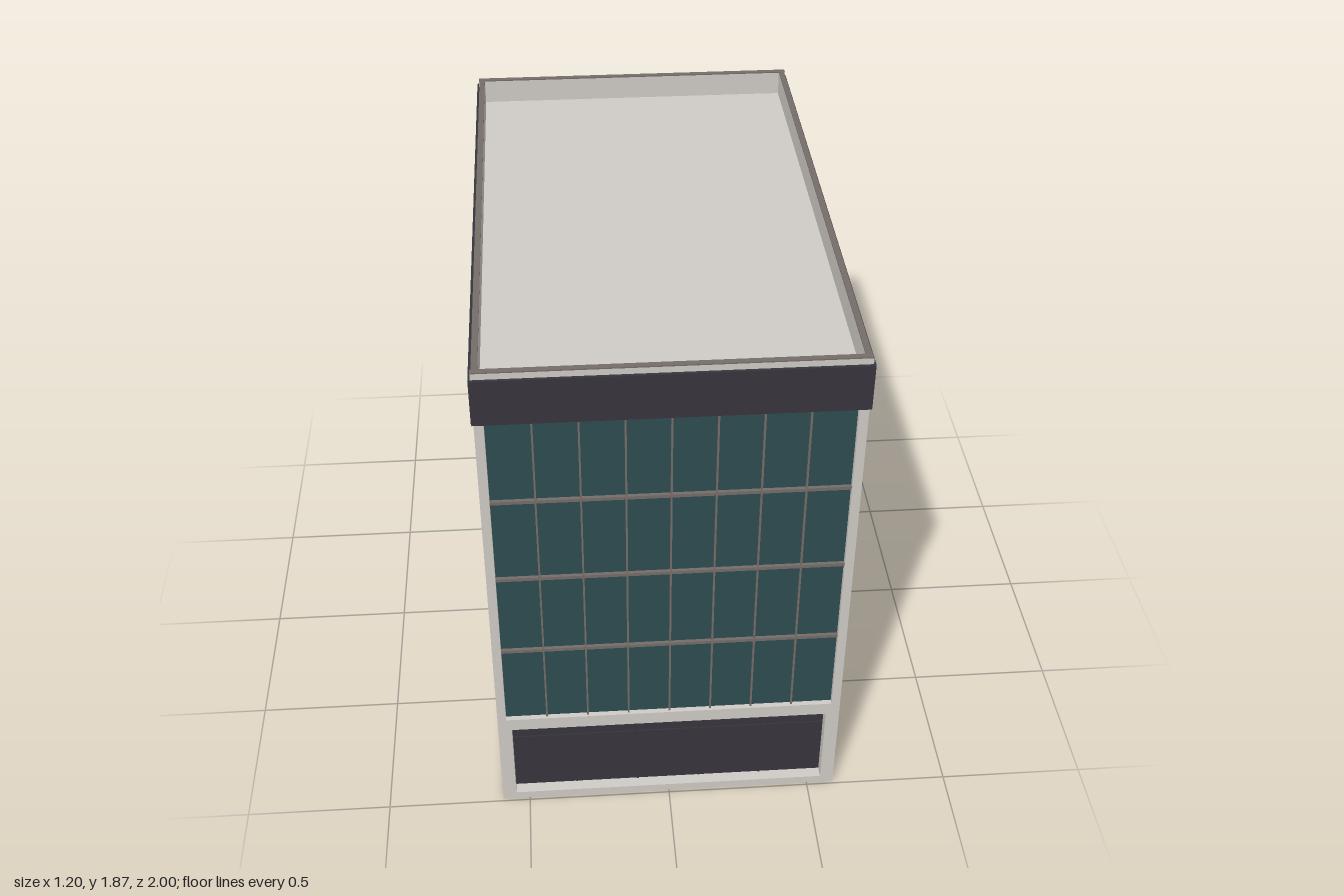
import * as THREE from 'three';

const mat = (name, color, side = THREE.FrontSide) => {
  const m = new THREE.MeshStandardMaterial({ color, side });
  m.name = name;
  return m;
};

export function createModel() {
  const stone = mat('pale stone', 0xcfcac5, THREE.DoubleSide);
  const dark = mat('charcoal', 0x37353c, THREE.DoubleSide);
  const glass = mat('teal glass', 0x2e4c50, THREE.DoubleSide);
  const metal = mat('mullion grey', 0x746c69);

  const HX = 0.595, HZ = 0.99; // half sizes of the walls
  const BELT = 0.405, EAVES = 1.69, TOP = 1.87;
  const FLOORS = 4;

  const model = new THREE.Group();
  model.name = 'officeBuilding';

  // box given by its x, y and z ranges
  const box = (parent, name, m, x0, x1, y0, y1, z0, z1) => {
    const mesh = new THREE.Mesh(new THREE.BoxGeometry(x1 - x0, y1 - y0, z1 - z0), m);
    mesh.position.set((x0 + x1) / 2, (y0 + y1) / 2, (z0 + z1) / 2);
    mesh.name = name;
    parent.add(mesh);
  };
  // upright panel facing +z
  const panel = (parent, name, m, halfWidth, y0, y1, z) => {
    const mesh = new THREE.Mesh(new THREE.PlaneGeometry(2 * halfWidth, y1 - y0), m);
    mesh.position.set(0, (y0 + y1) / 2, z);
    mesh.name = name;
    parent.add(mesh);
  };

  // one facade: w = half width, d = distance of its outer face from the centre
  const facade = (name, w, d, bays, shopBays, turn) => {
    const g = new THREE.Group();
    g.name = name;
    g.rotation.y = turn;
    model.add(g);

    // recessed ground floor with its stone frame
    panel(g, 'shopfront', dark, w - 0.04, 0, 0.395, d - 0.04);
    box(g, 'groundSill', stone, -w, w, 0, 0.03, d - 0.039, d);
    box(g, 'belt', stone, -w, w, 0.355, BELT, d - 0.042, d);
    for (const s of [-1, 1]) {
      const a = s * w, b = s * (w - 0.047);
      box(g, 'groundJamb', stone, Math.min(a, b), Math.max(a, b), 0.03, 0.355, d - 0.039, d);
    }
    for (let i = 1; i < shopBays; i++) {
      const x = (w - 0.047) * (2 * i / shopBays - 1);
      box(g, 'shopMullion', dark, x - 0.003, x + 0.003, 0.03, 0.355, d - 0.04, d - 0.036);
    }
    box(g, 'shopTransom', dark, 0.047 - w, w - 0.047, 0.272, 0.278, d - 0.04, d - 0.036);

    // curtain wall with mullions and floor rails
    const gw = w - 0.03;
    panel(g, 'curtainGlass', glass, w - 0.018, BELT - 0.01, EAVES + 0.01, d - 0.018);
    for (let i = 1; i < bays; i++) {
      const x = gw * (2 * i / bays - 1);
      box(g, 'mullion', metal, x - 0.003, x + 0.003, BELT, EAVES, d - 0.0175, d - 0.008);
    }
    for (let i = 1; i < FLOORS; i++) {
      const y = BELT + (EAVES - BELT) * i / FLOORS;
      box(g, 'floorRail', metal, -gw, gw, y - 0.006, y + 0.006, d - 0.0175, d - 0.006);
    }

    // parapet, fascia and coping
    box(g, 'parapet', stone, -w, w, EAVES, TOP - 0.004, d - 0.02, d);
    box(g, 'fascia', dark, -w - 0.005, w + 0.005, 1.685, 1.845, d - 0.01, d + 0.01);
    box(g, 'coping', metal, -w, w, TOP - 0.004, TOP, d - 0.02, d);
  };
  facade('frontFacade', HX, HZ, 8, 5, 0);
  facade('backFacade', HX, HZ, 8, 5, Math.PI);
  facade('leftFacade', HZ, HX - 0.003, 14, 8, Math.PI / 2);
  facade('rightFacade', HZ, HX - 0.003, 14, 8, -Math.PI / 2);

  // corner posts
  for (const sx of [-1, 1]) for (const sz of [-1, 1]) {
    const x = sx * (HX - 0.015), z = sz * (HZ - 0.015);
    box(model, 'cornerPost', stone, x - 0.015, x + 0.015, BELT, EAVES, z - 0.015, z + 0.015);
  }

  // roof deck below the parapet top
  box(model, 'roofDeck', stone, 0.02 - HX, HX - 0.02, 1.76, 1.78, 0.01 - HZ, HZ - 0.01);

  return model;
}
